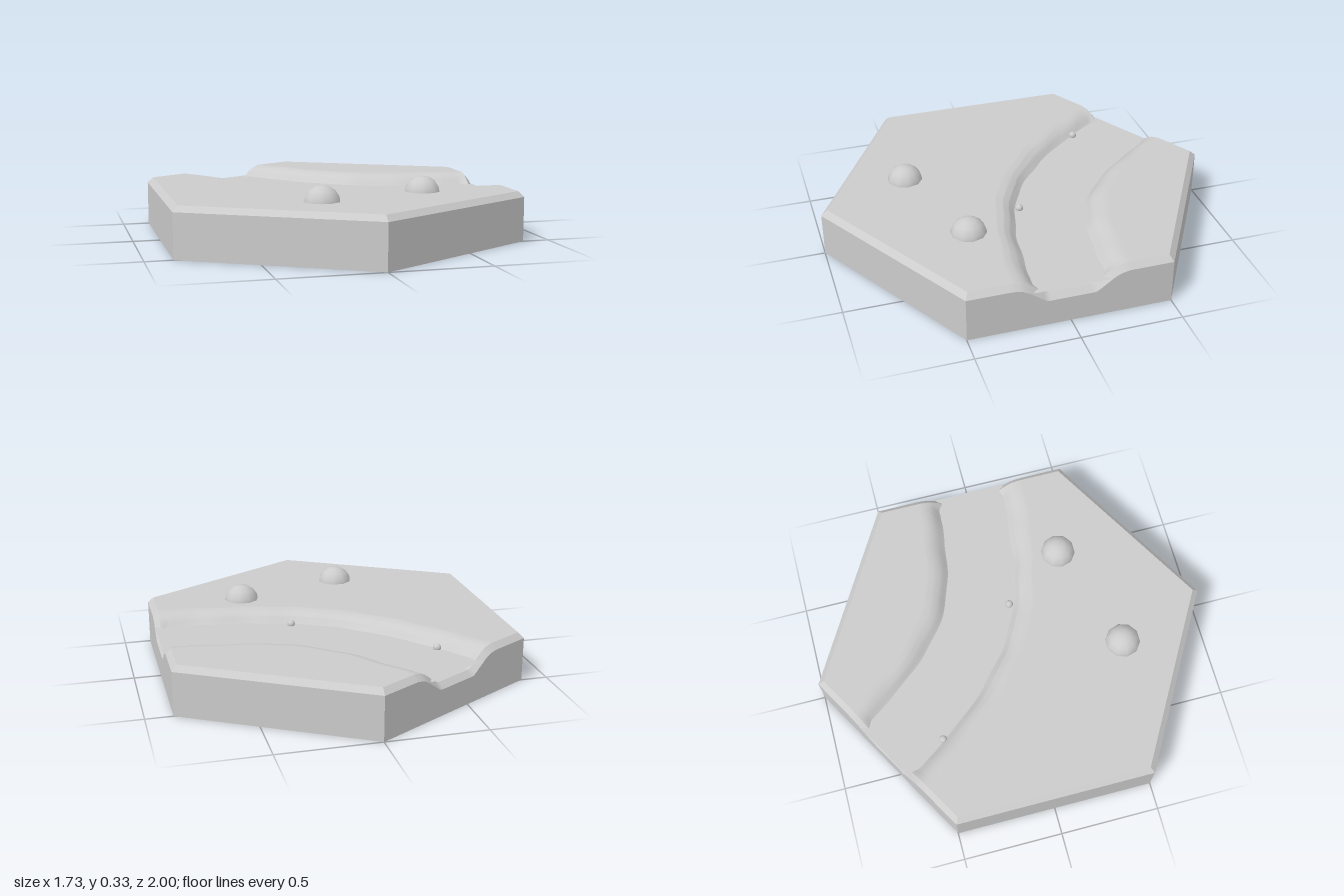
import * as THREE from 'three';

const TOP = 0.25, BEVEL = 0.028, INSET = 0.969, WATER = 0.193;

// Centre line of the river, from the +x edge to the back-left edge
const course = new THREE.CatmullRomCurve3([
  [0.866, 0], [0.65, -0.02], [0.4, -0.06], [0.15, -0.145],
  [-0.11, -0.34], [-0.29, -0.555], [-0.433, -0.75],
].map(([x, z]) => new THREE.Vector3(x, 0, z)));
const coursePoints = course.getPoints(160);

// Bank cross-sections, inland and at the rim: distance from the centre line, ground height
const bank = [[0, 0.162], [0.135, 0.162], [0.175, 0.193], [0.205, 0.225], [0.235, 0.242], [0.27, TOP]];
const rimBank = [[0, 0.162], [0.115, 0.162], [0.2, 0.226], [0.23, 0.242], [0.27, TOP]];

function hexRadius(x, z) {
  return Math.max(Math.abs(x), Math.abs(x / 2 + z * 0.866), Math.abs(x / 2 - z * 0.866)) / 0.866;
}

function riverDistance(x, z) {
  let best = 9;
  for (const p of coursePoints) best = Math.min(best, Math.hypot(p.x - x, p.z - z));
  return best;
}

function profile(points, d) {
  for (let i = 1; i < points.length; i++) {
    const [d0, h0] = points[i - 1], [d1, h1] = points[i];
    if (d < d1) return h0 + (h1 - h0) * (d - d0) / (d1 - d0);
  }
  return TOP;
}

// Ground height, slightly uneven along the banks and clean at the rim
function ground(x, z) {
  const d = riverDistance(x, z);
  const rim = THREE.MathUtils.smoothstep(hexRadius(x, z), 0.92, INSET);
  const wobble = 0.003 * Math.sin(x * 23 + z * 9) + 0.002 * Math.sin(z * 41 - x * 17);
  return THREE.MathUtils.lerp(profile(bank, Math.max(0, d + wobble)), profile(rimBank, d), rim);
}

// Surface grid from a rule giving a point for u, v in 0..1
function grid(nu, nv, rule) {
  const pos = [], index = [];
  for (let j = 0; j <= nv; j++) for (let i = 0; i <= nu; i++) pos.push(...rule(i / nu, j / nv));
  for (let j = 0; j < nv; j++) for (let i = 0; i < nu; i++) {
    const a = j * (nu + 1) + i, b = a + nu + 1;
    index.push(a, a + 1, b, a + 1, b + 1, b);
  }
  const g = new THREE.BufferGeometry();
  g.setAttribute('position', new THREE.Float32BufferAttribute(pos, 3));
  g.setIndex(index);
  g.computeVertexNormals();
  return g;
}

// Point on the hexagon outline, t in 0..6 counted from the front corner
function outline(t) {
  const k = Math.min(5, Math.floor(t)), f = t - k;
  const a = Math.PI / 2 + k * Math.PI / 3, b = a + Math.PI / 3;
  return [
    THREE.MathUtils.lerp(Math.cos(a), Math.cos(b), f),
    THREE.MathUtils.lerp(Math.sin(a), Math.sin(b), f),
  ];
}

export function createModel() {
  const model = new THREE.Group();
  const stone = new THREE.MeshStandardMaterial({ color: 0xcccccc, side: THREE.DoubleSide });
  stone.name = 'stone grey';
  const add = (name, geometry, parent = model) => {
    const mesh = new THREE.Mesh(geometry, stone);
    mesh.name = name;
    parent.add(mesh);
    return mesh;
  };

  // Ground with the carved river bed
  add('ground', grid(360, 72, (u, v) => {
    const [x, z] = outline(u * 6), r = 0.001 + (INSET - 0.001) * v;
    return [x * r, ground(x * r, z * r), z * r];
  }));

  // Six bevels and side walls that follow the river cut
  const rim = new THREE.Group();
  rim.name = 'rim';
  model.add(rim);
  for (let k = 0; k < 6; k++) {
    const edge = u => {
      const [x, z] = outline(Math.min(k + u, k + 0.99999));
      return { x, z, h: ground(x * INSET, z * INSET) };
    };
    add('bevel', grid(60, 1, (u, v) => {
      const { x, z, h } = edge(u), r = INSET + (1 - INSET) * v;
      return [x * r, h - BEVEL * v, z * r];
    }), rim);
    add('sideWall', grid(60, 1, (u, v) => {
      const { x, z, h } = edge(u);
      return [x, (h - BEVEL) * (1 - v), z];
    }), rim);
  }

  // Flat underside
  add('underside', grid(6, 1, (u, v) => {
    const [x, z] = outline(u * 6);
    return [x * (1 - v), 0, z * (1 - v)];
  }));

  // Water sheet reaching the edges of the tile
  add('water', grid(80, 1, (u, v) => {
    const p = course.getPoint(u), t = course.getTangent(u);
    if (u === 0) t.set(-1, 0, 0);
    if (u === 1) t.set(-0.5, 0, -0.866);
    const half = (u === 0 || u === 1 ? 0.178 : 0.183) * (v * 2 - 1);
    return [p.x + t.z * half, WATER, p.z - t.x * half];
  }));

  // Two domed boulders, and two pebbles half sunk at the waterline
  for (const [name, x, y, z, r] of [
    ['boulder', 0.385, 0.235, 0.355, 0.0915],
    ['boulder', -0.175, 0.235, 0.54, 0.0915],
    ['pebble', -0.43, 0.2, -0.46, 0.02],
    ['pebble', 0.185, 0.2, 0.04, 0.02],
  ]) add(name, new THREE.SphereGeometry(r, 10, 8)).position.set(x, y, z);

  return model;
}
